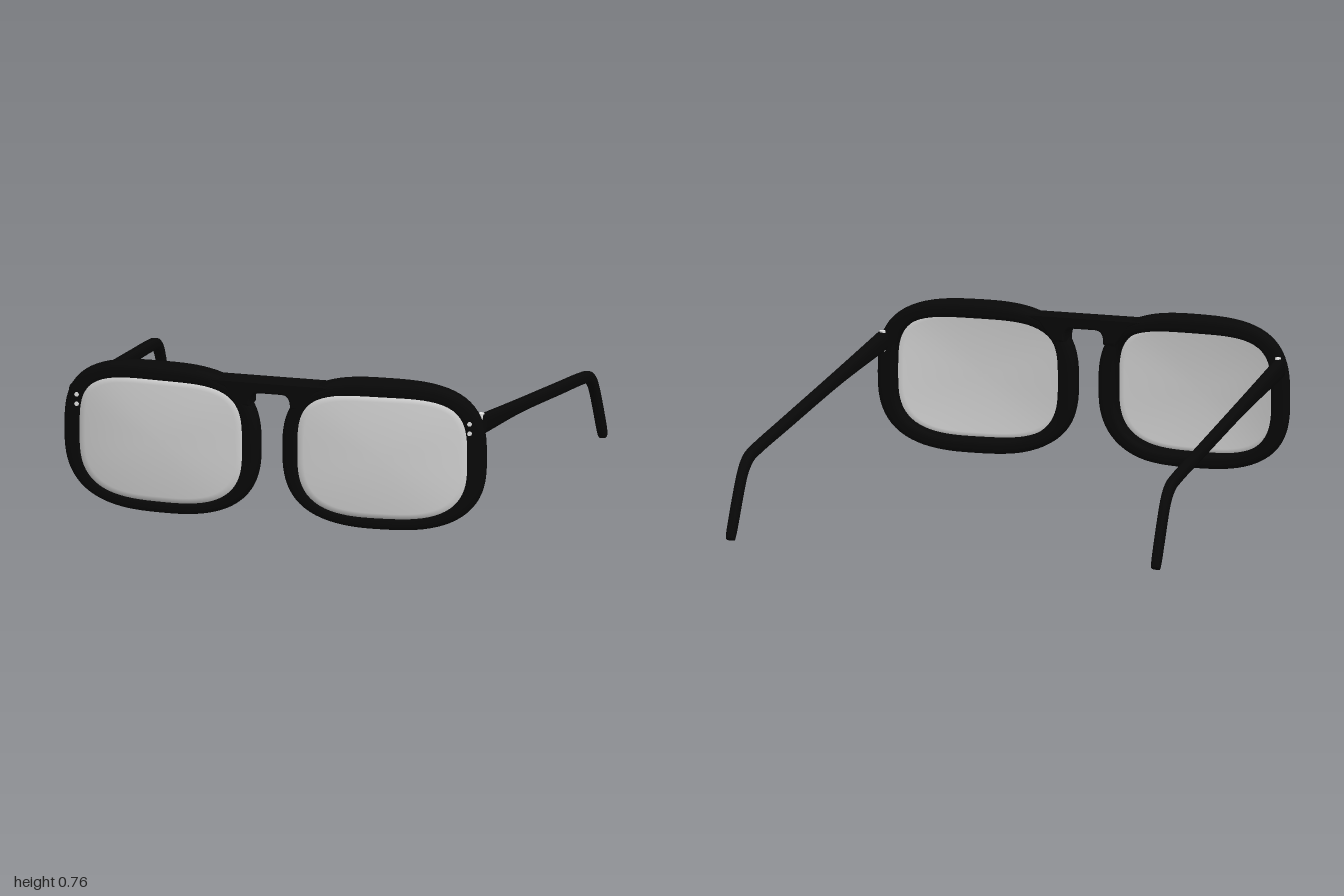
import * as THREE from 'three';

const TAU = Math.PI * 2;

// Skin over rings of points; every ring is closed, the row of rings may be too
function loft(rings, closed) {
  const n = rings.length, m = rings[0].length, index = [];
  for (let i = 0; i < (closed ? n : n - 1); i++) {
    for (let j = 0; j < m; j++) {
      const k = (i + 1) % n, l = (j + 1) % m;
      const a = i * m + j, b = k * m + j, c = k * m + l, d = i * m + l;
      index.push(a, b, d, b, c, d);
    }
  }
  const g = new THREE.BufferGeometry();
  g.setAttribute('position', new THREE.Float32BufferAttribute(rings.flat(2), 3));
  g.setIndex(index);
  g.computeVertexNormals();
  return g;
}

// Rounded-rectangle curve at angle t
function squircle(t, n) {
  const c = Math.cos(t), s = Math.sin(t);
  const r = Math.pow(Math.pow(Math.abs(c), n) + Math.pow(Math.abs(s), n), -1 / n);
  return [c * r, s * r];
}

// Outlines of one rim, squarest at the upper outer corner
const outer = (t) => {
  const [x, y] = squircle(t, Math.sin(t) > 0 && Math.cos(t) > 0 ? 3 : 2.75);
  return [0.5 + 0.45 * x, 0.425 + 0.338 * y];
};
const inner = (t) => {
  const [x, y] = squircle(t, Math.sin(t) > 0 ? 3.9 : 3.1);
  return [0.5 + 0.367 * x, 0.418 + 0.267 * y];
};
// Wrap of the front and back; the rim is shallower beside the nose
const frontZ = (x) => 0.967 - 0.08 * Math.pow(Math.abs(x) / 0.95, 3);
const backZ = (x, y) => {
  const nose = THREE.MathUtils.smoothstep(0.3 - x, 0, 0.22) * THREE.MathUtils.smoothstep(0.72 - y, 0, 0.12);
  return 0.847 - 0.014 * Math.pow(x / 0.95, 3) + 0.03 * nose;
};

function rimGeometry() {
  const rings = [];
  for (let i = 0; i < 96; i++) {
    const t = (i / 96) * TAU, o = outer(t), p = inner(t), ring = [];
    for (let j = 0; j < 32; j++) {
      const s = (j / 32) * TAU;
      const [u, v] = squircle(s, Math.cos(s) > 0 ? 2.7 : 4.2);
      const k = (u + 1) / 2, w = (v + 1) / 2;
      const x = p[0] + (o[0] - p[0]) * k, y = p[1] + (o[1] - p[1]) * k;
      const back = backZ(x, y);
      ring.push([x, y, back + (frontZ(x) - back) * w]);
    }
    rings.push(ring);
  }
  return loft(rings, true);
}

// Thin wrapped lens, from the middle of the back round to the middle of the front
function lensGeometry() {
  const rings = [], steps = 12;
  for (let i = 0; i < 96; i++) {
    const [px, py] = inner((i / 96) * TAU), ring = [];
    for (let j = 0; j < 2 * steps + 2; j++) {
      const front = j > steps;
      const r = (front ? 2 * steps + 1 - j : j) / steps;
      const x = 0.5 + (px - 0.5) * r * 1.03, y = 0.418 + (py - 0.418) * r * 1.03;
      ring.push([x, y, frontZ(x) - (front ? 0.006 : 0.02) + 0.014 * (1 - r * r)]);
    }
    rings.push(ring);
  }
  return loft(rings, true);
}

// Temple arm: half height, y and z along its length
function templeGeometry() {
  const path = new THREE.CatmullRomCurve3([
    [0.043, 0.569, 0.825], [0.029, 0.5, 0.3], [0.026, 0.412, -0.3], [0.025, 0.358, -0.66],
    [0.026, 0.34, -0.74], [0.027, 0.31, -0.79], [0.027, 0.265, -0.83],
    [0.026, 0.04, -0.949], [0.018, 0.013, -0.963],
  ].map((p) => new THREE.Vector3(...p)));
  const N = 64, rings = [];
  const ringAt = (f, scale) => {
    const p = path.getPoint(f), d = path.getTangent(f);
    const len = Math.hypot(d.y, d.z), ny = -d.z / len, nz = d.y / len;
    const cx = 0.917 + 0.065 * (0.825 - p.z) / 1.79;
    const half = Math.min(0.025 - 0.006 * f, p.x) * scale, h = p.x * scale;
    return Array.from({ length: 20 }, (_, j) => {
      const [u, v] = squircle((j / 20) * TAU, 3.5);
      return [cx + u * half, p.y + ny * v * h, p.z + nz * v * h];
    });
  };
  rings.push(ringAt(0, 0), ringAt(0, 0.96));
  for (let i = 0; i <= N; i++) rings.push(ringAt(i / N, 1));
  rings.push(ringAt(1, 0));
  return loft(rings, false);
}

// Keyhole bridge joining the rims, with rounded edges
function bridgeGeometry() {
  const s = new THREE.Shape();
  s.moveTo(-0.26, 0.72);
  s.lineTo(-0.2, 0.7);
  s.lineTo(-0.14, 0.62);
  s.lineTo(-0.1, 0.62);
  s.quadraticCurveTo(-0.1, 0.682, -0.05, 0.682);
  s.lineTo(0.05, 0.682);
  s.quadraticCurveTo(0.1, 0.682, 0.1, 0.62);
  s.lineTo(0.14, 0.62);
  s.lineTo(0.2, 0.7);
  s.lineTo(0.26, 0.72);
  s.closePath();
  const g = new THREE.ExtrudeGeometry(s, {
    depth: 0.088, curveSegments: 8,
    bevelSize: 0.011, bevelThickness: 0.016, bevelSegments: 3,
  });
  return g.translate(0, 0, 0.863);
}

export function createModel() {
  const black = new THREE.MeshStandardMaterial({ name: 'frame black', color: 0x080808 });
  const grey = new THREE.MeshStandardMaterial({ name: 'lens grey', color: 0xd2d2d2 });
  const metal = new THREE.MeshStandardMaterial({ name: 'metal', color: 0xe4e4e4 });

  const model = new THREE.Group();
  model.name = 'glasses';
  const add = (parent, name, geometry, material) => {
    const mesh = new THREE.Mesh(geometry, material);
    mesh.name = name;
    parent.add(mesh);
    return mesh;
  };

  const rim = rimGeometry(), lens = lensGeometry(), temple = templeGeometry();
  const rivet = new THREE.CylinderGeometry(0.01, 0.01, 0.012, 12).rotateX(Math.PI / 2);
  const pin = new THREE.CylinderGeometry(0.014, 0.014, 0.09, 12);
  const plate = new THREE.BoxGeometry(0.02, 0.045, 0.04);

  for (const side of [1, -1]) {
    const half = new THREE.Group();
    half.name = side > 0 ? 'leftHalf' : 'rightHalf';
    half.scale.x = side;
    add(half, 'rim', rim, black);
    add(half, 'lens', lens, grey);
    add(half, 'temple', temple, black);
    add(half, 'hingePin', pin, metal).position.set(0.913, 0.57, 0.812);
    add(half, 'hingePlate', plate, metal).position.set(0.912, 0.56, 0.835);
    for (const y of [0.545, 0.588]) {
      add(half, 'rivet', rivet, metal).position.set(0.885, y, frontZ(0.885) - 0.001);
    }
    model.add(half);
  }
  add(model, 'bridge', bridgeGeometry(), black);
  return model;
}
